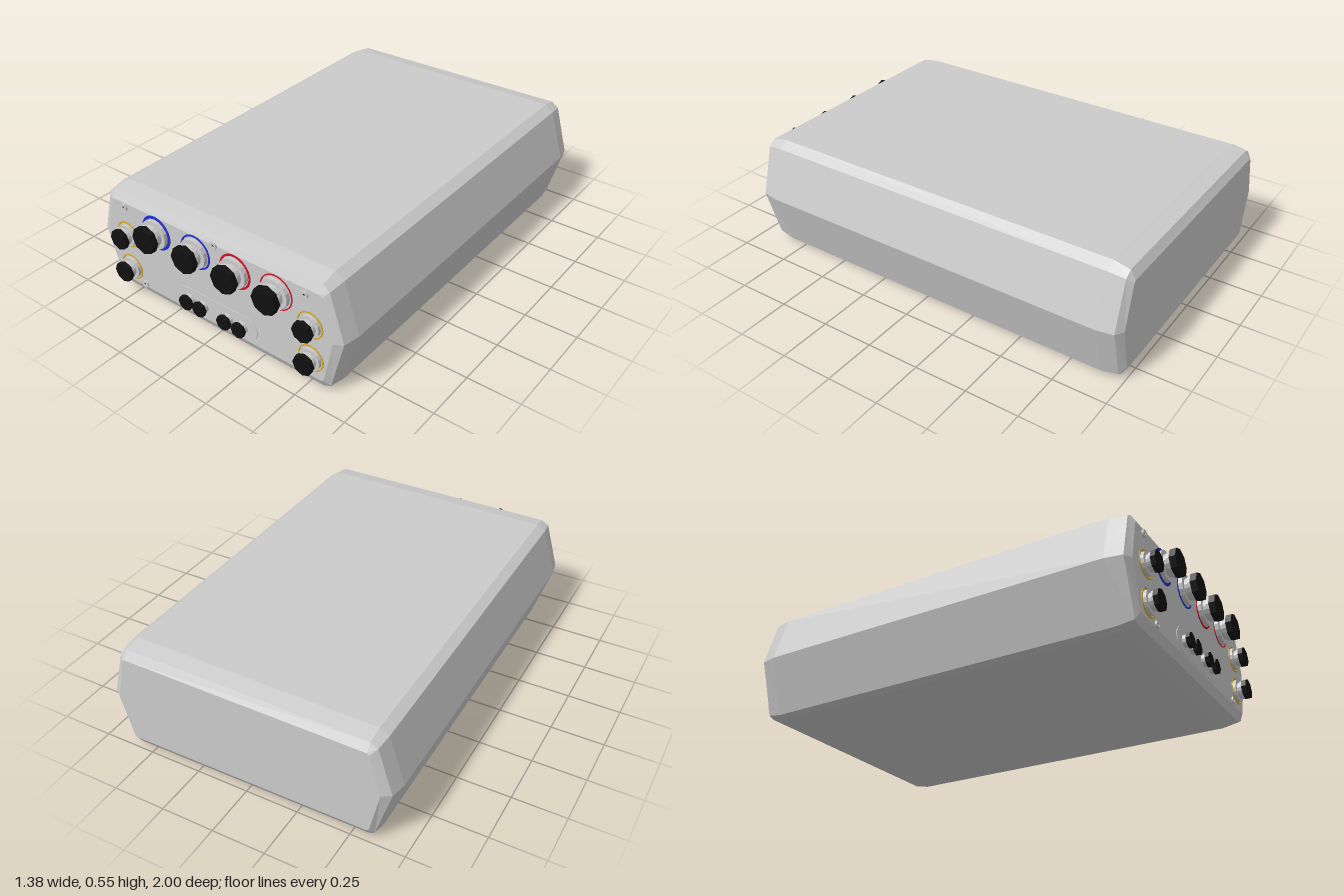
import * as THREE from 'three';

const FACE = 0.92; // z of the front panel

const mat = (color, flat = true) =>
  new THREE.MeshStandardMaterial({ color, flatShading: flat });
const grey = mat(0xcccccc);
const smoothGrey = mat(0xcccccc, false);
const black = mat(0x111111);
const blue = mat(0x2030d0);
const red = mat(0xd01025);
const yellow = mat(0xd8aa20);

function part(name, geometry, material, x = 0, y = 0, z = 0) {
  const mesh = new THREE.Mesh(geometry, material);
  mesh.name = name;
  mesh.position.set(x, y, z);
  return mesh;
}

// Full cross-section and the smaller end panel, counterclockwise from the front
const outer = [
  [-0.57, 0.007], [0.57, 0.0], [0.615, 0.022], [0.688, 0.28], [0.615, 0.515],
  [0.572, 0.545], [-0.577, 0.53], [-0.62, 0.506], [-0.69, 0.28], [-0.605, 0.02],
];
const inner = [
  [-0.575, 0.062], [0.575, 0.056], [0.585, 0.062], [0.635, 0.28], [0.585, 0.48],
  [0.575, 0.49], [-0.575, 0.48], [-0.585, 0.472], [-0.635, 0.28], [-0.585, 0.067],
];

// Case: cross-sections lofted along z, tightening to bevelled ends
function caseGeometry() {
  const sections = [[-1, 1], [-0.975, 0.27], [-0.9, 0], [0.82, 0], [0.9, 0.27], [FACE, 1]];
  const rings = sections.map(([z, t]) => outer.map(([x, y], i) => new THREE.Vector3(
    THREE.MathUtils.lerp(x, inner[i][0], t), THREE.MathUtils.lerp(y, inner[i][1], t), z)));
  const n = outer.length;
  const points = [];
  for (let s = 0; s < rings.length - 1; s++) {
    const a = rings[s], b = rings[s + 1];
    for (let i = 0; i < n; i++) {
      const j = (i + 1) % n;
      points.push(a[i], a[j], b[j], a[i], b[j], b[i]);
    }
  }
  const back = rings[0], front = rings[rings.length - 1];
  const backMid = new THREE.Vector3(0, 0.277, -1);
  const frontMid = new THREE.Vector3(0, 0.277, FACE);
  for (let i = 0; i < n; i++) {
    const j = (i + 1) % n;
    points.push(backMid, back[j], back[i], frontMid, front[i], front[j]);
  }
  const geometry = new THREE.BufferGeometry().setFromPoints(points);
  geometry.computeVertexNormals();
  return geometry;
}

// Cylinder along z from z0 to z1, measured from the front panel
function drum(r, z0, z1, sides) {
  return new THREE.CylinderGeometry(r, r, z1 - z0, sides)
    .rotateX(Math.PI / 2).translate(0, 0, (z0 + z1) / 2);
}

// Flat raised ring
function band(rOut, rIn, depth) {
  const shape = new THREE.Shape().absarc(0, 0, rOut, 0, Math.PI * 2);
  shape.holes.push(new THREE.Path().absarc(0, 0, rIn, 0, Math.PI * 2, true));
  return new THREE.ExtrudeGeometry(shape, { depth, bevelEnabled: false, curveSegments: 24 });
}

// Round connector: coloured ring, stepped collar and octagonal black cap
function connector(name, x, y, r, length, color, ringOut, ringIn) {
  const g = new THREE.Group();
  g.name = name;
  g.position.set(x, y, FACE);
  g.add(
    part('colourRing', band(ringOut, ringIn, 0.003), color),
    part('baseCollar', drum(r * 1.1, 0, length * 0.25, 16), grey),
    part('neck', drum(r * 0.78, length * 0.25, length * 0.45, 16), grey),
    part('upperCollar', drum(r * 0.9, length * 0.45, length * 0.64, 16), grey),
    part('cap', drum(r, length * 0.64, length, 8), black),
  );
  return g;
}

export function createModel() {
  const model = new THREE.Group();
  model.name = 'connectorBox';
  model.add(part('case', caseGeometry(), grey));

  // Row of large connectors
  [[-0.316, blue, 0.083, 0.068], [-0.085, blue, 0.083, 0.075],
    [0.137, red, 0.083, 0.074], [0.355, red, 0.083, 0.078]].forEach(([x, color, a, b]) =>
    model.add(connector('largeConnector', x, 0.402, 0.064, 0.08, color, a, b)));

  // Stacked small connectors at both ends
  [[-0.506, 0.316], [-0.506, 0.14], [0.524, 0.32], [0.524, 0.152]].forEach(([x, y]) =>
    model.add(connector('smallConnector', x, y, 0.048, 0.06, yellow, 0.064, 0.058)));

  // Thin rounded plate carrying four little plugs
  const plate = new THREE.Shape();
  plate.absarc(0.18, 0.128, 0.06, -Math.PI / 2, Math.PI / 2);
  plate.absarc(-0.16, 0.128, 0.06, Math.PI / 2, Math.PI * 1.5);
  model.add(part('plugPlate', new THREE.ExtrudeGeometry(plate,
    { depth: 0.003, bevelEnabled: false, curveSegments: 10 }), grey, 0, 0, FACE));
  [-0.142, -0.064, 0.078, 0.16].forEach((x) => {
    const plug = new THREE.Group();
    plug.name = 'plug';
    plug.position.set(x, 0.128, FACE);
    plug.add(part('plugNeck', drum(0.028, 0, 0.022, 12), grey),
      part('plugCap', drum(0.036, 0.022, 0.04, 8), black));
    model.add(plug);
  });

  // Panel screws with dark sockets
  [[-0.506, 0.46], [0.026, 0.485], [0.5, 0.46], [-0.43, 0.078], [0.45, 0.078]]
    .forEach(([x, y]) => {
      const screw = new THREE.Group();
      screw.name = 'screw';
      screw.position.set(x, y, FACE);
      screw.add(part('screwHead', band(0.018, 0.007, 0.008), smoothGrey),
        part('screwSocket', drum(0.007, 0, 0.003, 6), black));
      model.add(screw);
    });
  return model;
}
